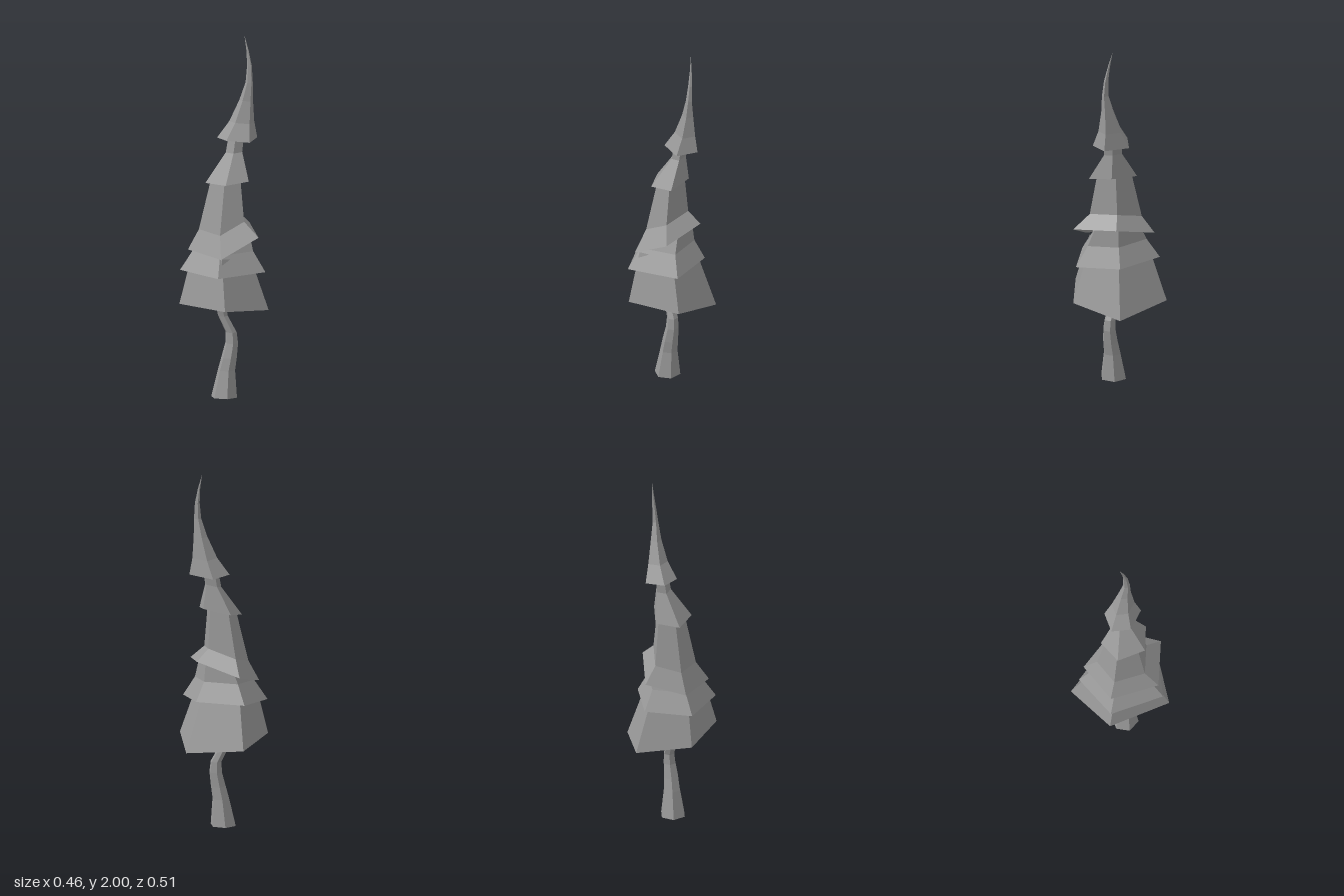
import * as THREE from 'three';

const material = new THREE.MeshStandardMaterial({ color: 0x999999, flatShading: true, side: THREE.DoubleSide });

// Faceted open shell: a base outline, then scaled copies of it at [x, y, z, scale].
// A scale of 0 ends the shell in a point.
function ringShell(name, outline, rings) {
  const base = outline.map((p) => new THREE.Vector3(...p));
  const n = base.length;
  const centre = new THREE.Vector3();
  base.forEach((p) => centre.addScaledVector(p, 1 / n));
  const loops = [base];
  for (const [x, y, z, s] of rings) {
    loops.push(base.map((p) => p.clone().sub(centre).multiplyScalar(s).add(new THREE.Vector3(x, y, z))));
  }

  const pos = [];
  const tri = (...corners) => corners.forEach((c) => pos.push(c.x, c.y, c.z));
  for (let i = 0; i < n; i++) {
    const j = (i + 1) % n;
    for (let k = 0; k < rings.length; k++) {
      const a = loops[k], b = loops[k + 1];
      tri(a[i], a[j], b[j]);
      if (rings[k][3] > 0) tri(a[i], b[j], b[i]);
    }
  }
  const geometry = new THREE.BufferGeometry();
  geometry.setAttribute('position', new THREE.Float32BufferAttribute(pos, 3));
  geometry.computeVertexNormals();
  const mesh = new THREE.Mesh(geometry, material);
  mesh.name = name;
  return mesh;
}

// Skirts of foliage from bottom to top: a crooked five-cornered rim and the rings above it
const tiers = [
  {
    rim: [[0.23, 0.45, 0.01], [0.045, 0.485, -0.26], [-0.23, 0.52, -0.13], [-0.21, 0.52, 0.22], [0.08, 0.5, 0.255]],
    rings: [[-0.04, 0.78, 0.015, 0.66]],
  },
  {
    rim: [[0.165, 0.73, 0.005], [0.01, 0.73, -0.225], [-0.23, 0.71, -0.125], [-0.225, 0.7, 0.18], [0.07, 0.71, 0.24]],
    rings: [[-0.038, 0.825, 0.015, 0.7], [-0.01, 0.94, 0.015, 0.5]],
  },
  {
    rim: [[0.145, 0.95, 0.025], [0.02, 0.88, -0.195], [-0.185, 0.82, -0.11], [-0.19, 0.8, 0.165], [0.01, 0.91, 0.25]],
    rings: [[-0.045, 0.965, 0.015, 0.64], [-0.025, 1.22, 0.022, 0.42], [-0.01, 1.3, 0.03, 0.25]],
  },
  {
    rim: [[0.085, 1.235, 0.045], [0.005, 1.215, -0.1], [-0.115, 1.19, -0.045], [-0.11, 1.195, 0.115], [0.015, 1.21, 0.165]],
    rings: [[0.025, 1.36, 0.035, 0.38], [0.048, 1.5, 0.038, 0.34]],
  },
  {
    rim: [[0.145, 1.43, 0.09], [0.09, 1.42, -0.05], [-0.025, 1.43, -0.05], [-0.05, 1.43, 0.055], [0.04, 1.42, 0.145]],
    rings: [
      [0.065, 1.52, 0.05, 0.62], [0.084, 1.64, 0.066, 0.34], [0.094, 1.74, 0.08, 0.18],
      [0.1, 1.83, 0.076, 0.12], [0.1, 1.91, 0.062, 0.06], [0.095, 2, 0.04, 0],
    ],
  },
];

export function createModel() {
  const tree = new THREE.Group();
  tree.name = 'tree';

  // Winding six-sided trunk, flared at the foot
  const foot = [];
  for (let i = 0; i < 6; i++) {
    const a = (i / 6) * Math.PI * 2;
    foot.push([-0.04 + 0.072 * Math.cos(a), 0, 0.025 - 0.075 * Math.sin(a)]);
  }
  tree.add(ringShell('trunk', foot, [
    [-0.03, 0.15, 0.033, 0.67],
    [-0.02, 0.22, 0.043, 0.6],
    [-0.007, 0.3, 0.05, 0.5],
    [-0.007, 0.36, 0.046, 0.43],
    [-0.037, 0.45, 0.012, 0.38],
    [-0.05, 0.52, 0.005, 0.4],
    [-0.05, 0.6, 0.005, 0.4],
  ]));

  // Foliage
  tiers.forEach(({ rim, rings }, i) => tree.add(ringShell(`foliageTier${i + 1}`, rim, rings)));
  return tree;
}
